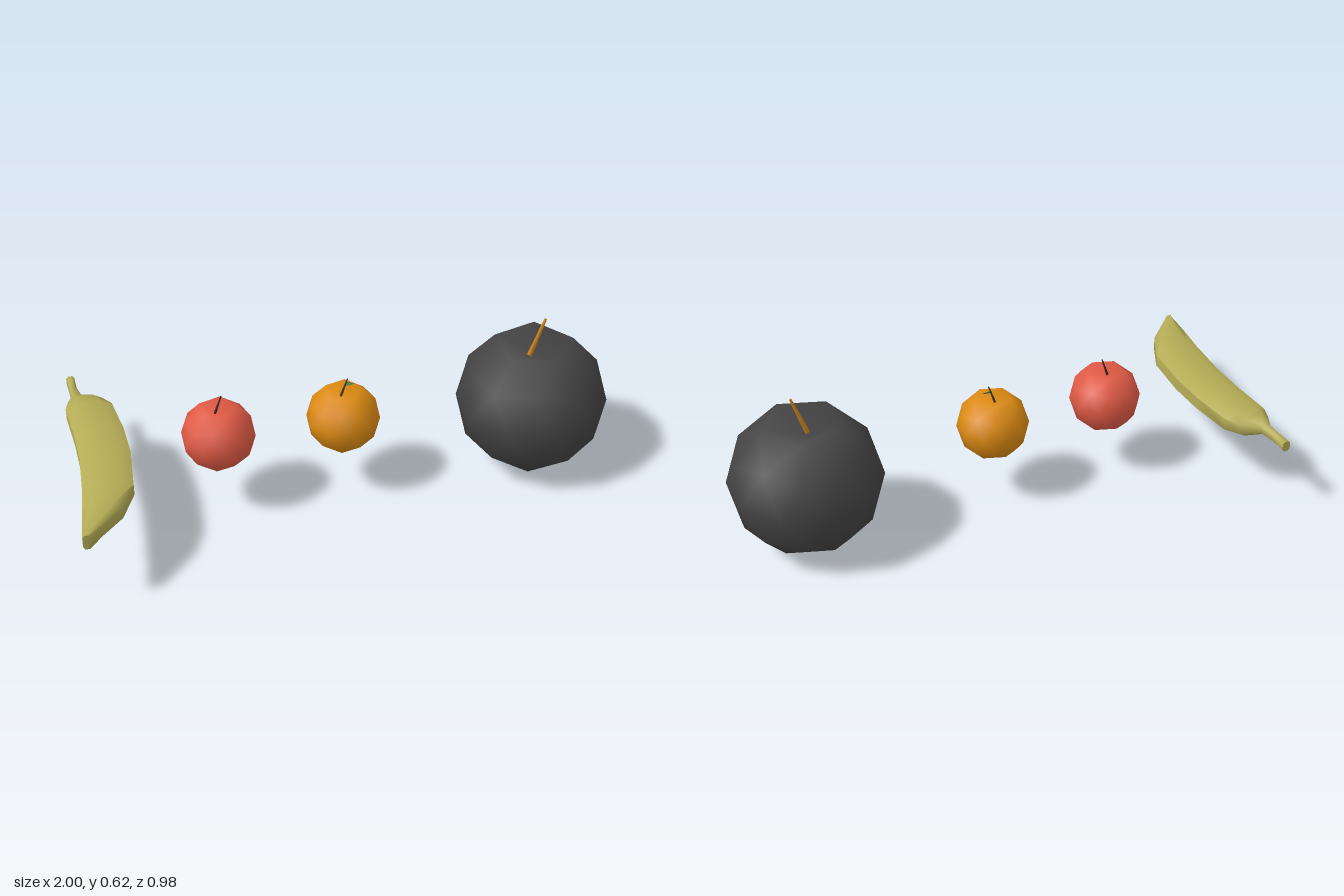
import * as THREE from 'three';
import { mergeVertices, toCreasedNormals } from 'three/addons/utils/BufferGeometryUtils.js';

function part(geometry, color, name, doubleSided = false) {
  const material = new THREE.MeshStandardMaterial({ color });
  if (doubleSided) material.side = THREE.DoubleSide;
  const mesh = new THREE.Mesh(geometry, material);
  mesh.name = name;
  return mesh;
}

// Unit low-poly ball standing on a corner, with its top corner pushed in
function fruitBody() {
  let g = new THREE.IcosahedronGeometry(1, 1);
  g.deleteAttribute('uv');
  g.deleteAttribute('normal');
  g.rotateZ(-Math.atan(2 / (1 + Math.sqrt(5))));
  g = mergeVertices(g, 1e-3);
  const p = g.attributes.position;
  for (let i = 0; i < p.count; i++) if (p.getY(i) > 0.95) p.setY(i, 0.64);
  g.computeVertexNormals();
  return g;
}

// Leaning stem, thicker at the base and flattened front to back
function stemGeometry() {
  const from = new THREE.Vector3(-0.08, 0.63, 0), to = new THREE.Vector3(0.12, 1.2, 0);
  const dir = to.clone().sub(from);
  const g = new THREE.CylinderGeometry(0.018, 0.038, dir.length(), 6);
  g.scale(1, 1, 0.8);
  g.rotateZ(-Math.atan2(dir.x, dir.y));
  g.translate((from.x + to.x) / 2, (from.y + to.y) / 2, 0);
  return toCreasedNormals(g, 1.2);
}

function roundFruit(name, radius, x, y, color, stemColor) {
  const fruit = new THREE.Group();
  fruit.name = name;
  fruit.add(part(fruitBody(), color, name + 'Body'), part(stemGeometry(), stemColor, name + 'Stem'));
  fruit.scale.setScalar(radius);
  fruit.position.set(x, y, 0.038);
  return fruit;
}

// Small pointed leaf beside the stem
function leafGeometry() {
  const s = new THREE.Shape();
  s.moveTo(0.03, 1.0);
  s.quadraticCurveTo(0.08, 1.12, 0.16, 1.07);
  s.lineTo(0.31, 1.02);
  s.quadraticCurveTo(0.16, 0.95, 0.03, 1.0);
  const g = new THREE.ShapeGeometry(s, 4);
  g.translate(0, -1.02, 0);
  g.rotateX(-0.5);
  g.translate(0, 1.02, 0);
  return g;
}

// Lofted banana: each section is [z, inner x, outer x, half height]
function bananaGeometry() {
  const sections = [
    [0.49, -1.0, -0.97, 0.029], [0.36, -0.984, -0.848, 0.042],
    [0.24, -0.97, -0.792, 0.042], [0.05, -0.957, -0.775, 0.042],
    [-0.1, -0.959, -0.779, 0.042], [-0.27, -0.97, -0.8, 0.042],
    [-0.32, -0.956, -0.832, 0.037], [-0.36, -0.941, -0.9, 0.019],
    [-0.42, -0.942, -0.913, 0.018], [-0.49, -0.945, -0.914, 0.02],
  ];
  const ring = [[1, 0.55], [0.55, 1], [-0.55, 1], [-1, 0.55], [-1, -0.55], [-0.55, -1], [0.55, -1], [1, -0.55]];
  const n = ring.length, pos = [], idx = [];
  sections.forEach(([z, x0, x1, h], i) => {
    ring.forEach(([u, v], j) => {
      pos.push((x0 + x1) / 2 + u * (x1 - x0) / 2, 0.281 + v * h, z);
      if (i === sections.length - 1) return;
      const a = i * n + j, b = i * n + (j + 1) % n;
      idx.push(a, a + n, b, b, a + n, b + n);
    });
  });
  // End caps
  const last = (sections.length - 1) * n;
  for (let j = 1; j < n - 1; j++) idx.push(0, j, j + 1, last, last + j + 1, last + j);
  const g = new THREE.BufferGeometry();
  g.setAttribute('position', new THREE.Float32BufferAttribute(pos, 3));
  g.setIndex(idx);
  return toCreasedNormals(g, 1.1);
}

export function createModel() {
  const model = new THREE.Group();
  model.name = 'fruitRow';
  model.add(part(bananaGeometry(), 0xb4ac55, 'banana'));
  model.add(roundFruit('apple', 0.135, -0.456, 0.318, 0xe05a45, 0x3a2a22));
  const orange = roundFruit('orange', 0.135, 0.006, 0.318, 0xdc8a12, 0x4a3a20);
  orange.add(part(leafGeometry(), 0x5a8a4a, 'orangeLeaf', true));
  model.add(orange);
  model.add(roundFruit('darkFruit', 0.281, 0.731, 0.283, 0x444444, 0xd0851a));
  return model;
}
